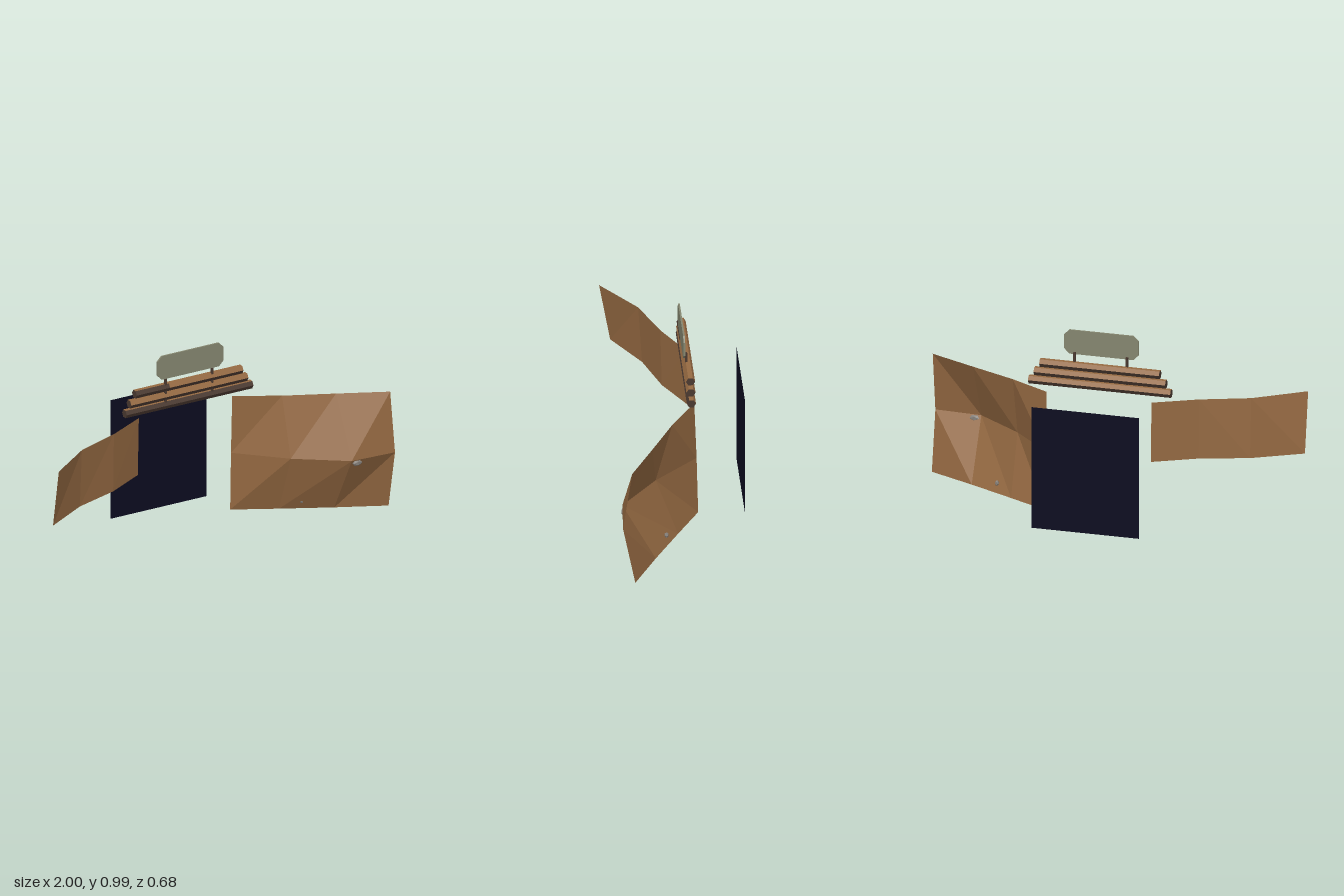
import * as THREE from 'three';

const mat = (name, color, side = THREE.FrontSide) => {
  const m = new THREE.MeshStandardMaterial({ color, flatShading: true, side });
  m.name = name;
  return m;
};

export function createModel() {
  const earth = mat('earth brown', 0x936841, THREE.DoubleSide);
  const dark = mat('tunnel dark', 0x0c0c20, THREE.DoubleSide);
  const wood = mat('log wood', 0x966a42);
  const bark = mat('dark bark', 0x4a3930);
  const board = mat('sign grey', 0x85866f);
  const stone = mat('stone grey', 0x85807a);

  const group = new THREE.Group();
  const add = (name, geo, material, x = 0, y = 0, z = 0) => {
    const mesh = new THREE.Mesh(geo, material);
    mesh.name = name;
    mesh.position.set(x, y, z);
    group.add(mesh);
    return mesh;
  };

  // Folded rock wall: rows run from top to bottom, each with a depth per column
  const wall = (name, xs, rows) => {
    const pos = [], idx = [], n = xs.length;
    rows.forEach(({ y, zs }) => xs.forEach((x, i) => pos.push(x, y, zs[i])));
    for (let r = 0; r < rows.length - 1; r++) {
      for (let i = 0; i < n - 1; i++) {
        const a = r * n + i, b = a + 1, c = a + n, d = c + 1;
        idx.push(a, c, b, b, c, d);
      }
    }
    const geo = new THREE.BufferGeometry();
    geo.setAttribute('position', new THREE.Float32BufferAttribute(pos, 3));
    geo.setIndex(idx);
    geo.computeVertexNormals();
    add(name, geo, earth);
  };
  wall('leftWall', [0.28, 0.5, 0.75, 1], [
    { y: 0.65, zs: [-0.08, 0.05, 0.17, 0.293] },
    { y: 0.33, zs: [-0.092, 0.135, 0.325, 0.34] },
    { y: 0.012, zs: [-0.1, 0.02, 0.153, 0.277] },
  ]);
  wall('rightWall', [-1, -0.75, -0.5, -0.28], [
    { y: 0.65, zs: [0.312, 0.13, 0.035, -0.08] },
    { y: 0.33, zs: [0.255, 0.11, 0.028, -0.09] },
  ]);

  // Dark opening set back behind the walls
  add('tunnelOpening', new THREE.PlaneGeometry(0.575, 0.658), dark, -0.004, 0.329, -0.34);

  // Six-sided logs: upper facets bare wood, lower facets and ends bark
  const log = (name, x0, x1, y, barkFront) => {
    const geo = new THREE.CylinderGeometry(0.0235, 0.0235, x1 - x0, 6);
    geo.clearGroups();
    for (let i = 0; i < 6; i++) {
      geo.addGroup(i * 6, 6, i > 2 || (i === 0 && barkFront) ? 1 : 0);
    }
    geo.addGroup(36, 36, 1);
    geo.rotateZ(Math.PI / 2);
    add(name, geo, [wood, bark], (x0 + x1) / 2, y, -0.058);
  };
  log('lowerLog', -0.38, 0.38, 0.703, true);
  log('middleLog', -0.353, 0.35, 0.751, false);
  log('upperLogBarkEnd', -0.32, -0.12, 0.799, true);
  log('upperLog', -0.12, 0.32, 0.799, false);

  // Sign posts
  for (const s of [-1, 1]) {
    add('signPost', new THREE.BoxGeometry(0.011, 0.17, 0.011), bark, s * 0.14, 0.785, -0.049);
  }

  // Blank sign board with clipped corners
  const w = 0.198, h = 0.065, c = 0.027;
  const outline = new THREE.Shape([
    [-w + c, -h], [w - c, -h], [w, -h + c], [w, h - c],
    [w - c, h], [-w + c, h], [-w, h - c], [-w, -h + c],
  ].map(([x, y]) => new THREE.Vector2(x, y)));
  const signGeo = new THREE.ExtrudeGeometry(outline, { depth: 0.009, bevelEnabled: false });
  add('signBoard', signGeo, board, 0, 0.921, -0.04);

  // Small stones lodged in the left wall
  const pebble = (x, y, z, sx, sy) => {
    add('stone', new THREE.IcosahedronGeometry(1, 0), stone, x, y, z).scale.set(sx, sy, 0.012);
  };
  pebble(0.785, 0.312, 0.322, 0.03, 0.018);
  pebble(0.595, 0.06, 0.086, 0.011, 0.016);

  return group;
}
